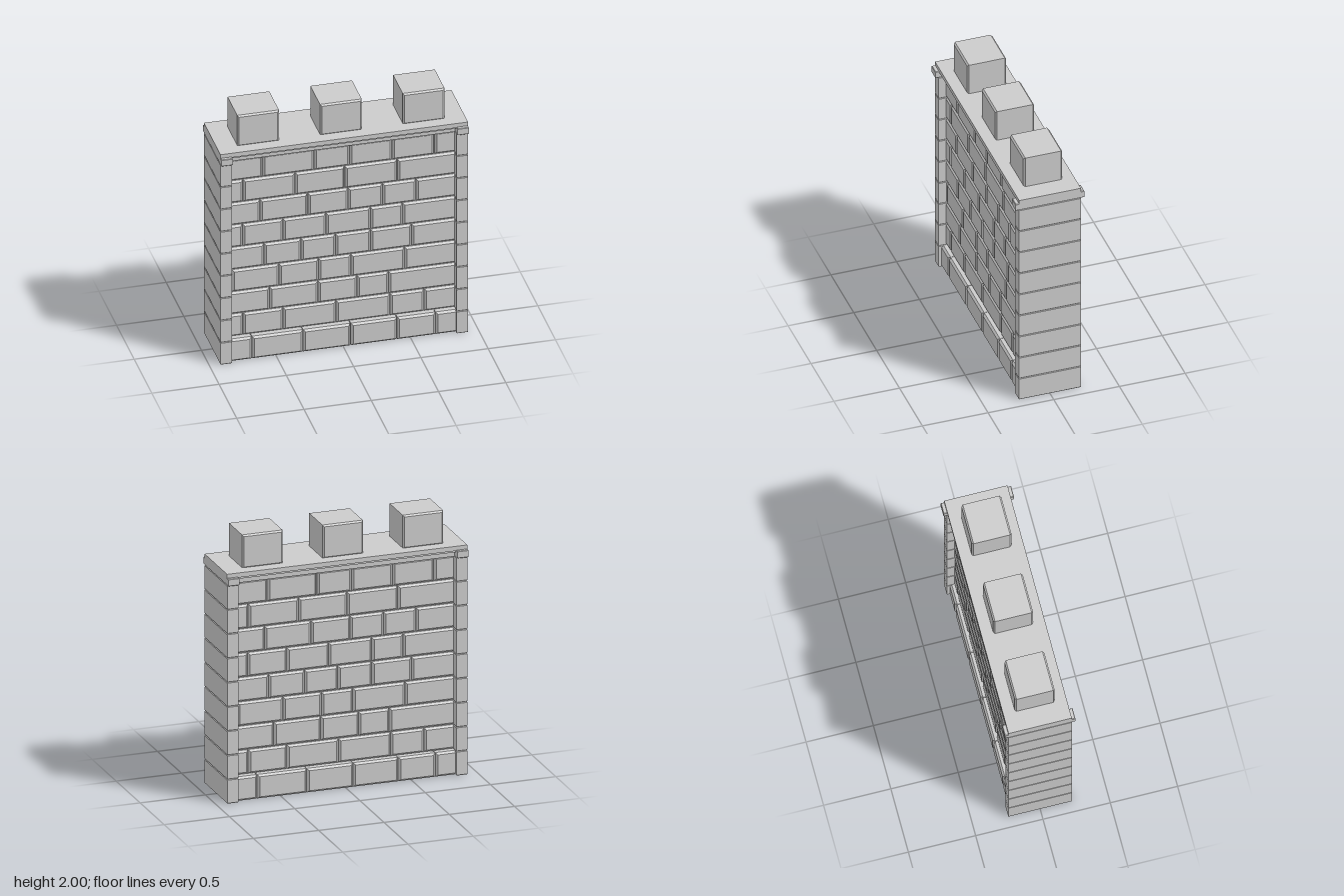
import * as THREE from 'three';

const material = new THREE.MeshStandardMaterial({ color: 0xcccccc, flatShading: true });

// Block between two corners, with its end faces along z (or y) chamfered.
function block(name, [x0, y0, z0], [x1, y1, z1], bevel, alongY = false) {
  const w = x1 - x0;
  const h = alongY ? z1 - z0 : y1 - y0;
  const d = alongY ? y1 - y0 : z1 - z0;
  const a = w / 2 - bevel, b = h / 2 - bevel;
  const shape = new THREE.Shape([
    new THREE.Vector2(-a, -b), new THREE.Vector2(a, -b),
    new THREE.Vector2(a, b), new THREE.Vector2(-a, b),
  ]);
  const geometry = new THREE.ExtrudeGeometry(shape, {
    depth: d - 2 * bevel, bevelEnabled: true, bevelSegments: 1,
    bevelSize: bevel, bevelThickness: bevel,
  });
  geometry.translate(0, 0, bevel - d / 2);
  if (alongY) geometry.rotateX(-Math.PI / 2);
  geometry.translate((x0 + x1) / 2, (y0 + y1) / 2, (z0 + z1) / 2);
  const mesh = new THREE.Mesh(geometry, material);
  mesh.name = name;
  return mesh;
}

function box(name, [x0, y0, z0], [x1, y1, z1]) {
  const mesh = new THREE.Mesh(new THREE.BoxGeometry(x1 - x0, y1 - y0, z1 - z0), material);
  mesh.position.set((x0 + x1) / 2, (y0 + y1) / 2, (z0 + z1) / 2);
  mesh.name = name;
  return mesh;
}

const END = 0.92;      // outer face of the end piers
const INNER = 0.835;   // inner face of the end piers
const DEPTH = 0.237;   // half depth of the piers
const ROW = 0.185;     // height of one course

// Vertical joints of each course, bottom to top
const JOINTS = [
  [-0.68, -0.30, 0.055, 0.40, 0.685],
  [-0.735, -0.44, -0.045, 0.355, 0.61],
  [-0.54, -0.18, 0.11, 0.345],
  [-0.82, -0.47, -0.175, 0.065, 0.465],
  [-0.58, -0.305, -0.05, 0.21, 0.515],
  [-0.74, -0.44, -0.12, 0.21, 0.45],
  [-0.61, -0.255, 0.045, 0.30, 0.55],
  [-0.735, -0.35, 0.02, 0.41],
  [-0.59, -0.21, 0.055, 0.37, 0.685],
];

// One face of brickwork; the bottom course stands proud as a plinth
function brickFace(name) {
  const face = new THREE.Group();
  face.name = name;
  JOINTS.forEach((joints, row) => {
    const xs = [-INNER - 0.02, ...joints, INNER + 0.02];
    const front = row === 0 ? 0.215 : 0.18;
    for (let i = 0; i < xs.length - 1; i++) {
      face.add(block('brick',
        [xs[i] + 0.002, row * ROW + (row ? 0.002 : 0), 0],
        [xs[i + 1] - 0.002, (row + 1) * ROW - 0.002, front], 0.015));
    }
  });
  return face;
}

export function createModel() {
  const model = new THREE.Group();
  model.name = 'battlementWall';
  const top = JOINTS.length * ROW;

  // Solid core and the brickwork on both sides
  model.add(box('core', [-INNER, 0.001, -0.155], [INNER, top, 0.155]));
  const back = brickFace('backBricks');
  back.rotation.y = Math.PI;
  model.add(brickFace('frontBricks'), back);

  // End piers of stacked blocks, each crowned by a wider block
  for (const side of [-1, 1]) {
    const pier = new THREE.Group();
    pier.name = side > 0 ? 'leftPier' : 'rightPier';
    const x0 = side > 0 ? INNER : -END;
    const x1 = side > 0 ? END : -INNER;
    JOINTS.forEach((_, row) => pier.add(block('pierBlock',
      [x0, row * ROW, -DEPTH], [x1, (row + 1) * ROW, DEPTH], 0.005, true)));
    pier.add(block('pierCap', [x0, top, -0.262], [x1, 1.72, 0.262], 0.004, true));
    model.add(pier);
  }

  // Coping: recessed neck below, slab above
  model.add(box('copingNeck', [-INNER, top - 0.005, -0.195], [INNER, 1.70, 0.195]));
  model.add(box('copingMoulding', [-INNER, 1.70, -0.222], [INNER, 1.716, 0.222]));
  model.add(box('copingSlab', [-END, 1.715, -0.235], [END, 1.75, 0.235]));

  // Merlons
  for (const x of [-0.615, 0, 0.615]) {
    model.add(block('merlon', [x - 0.155, 1.745, -0.148], [x + 0.155, 2, 0.148], 0.012));
  }
  return model;
}
